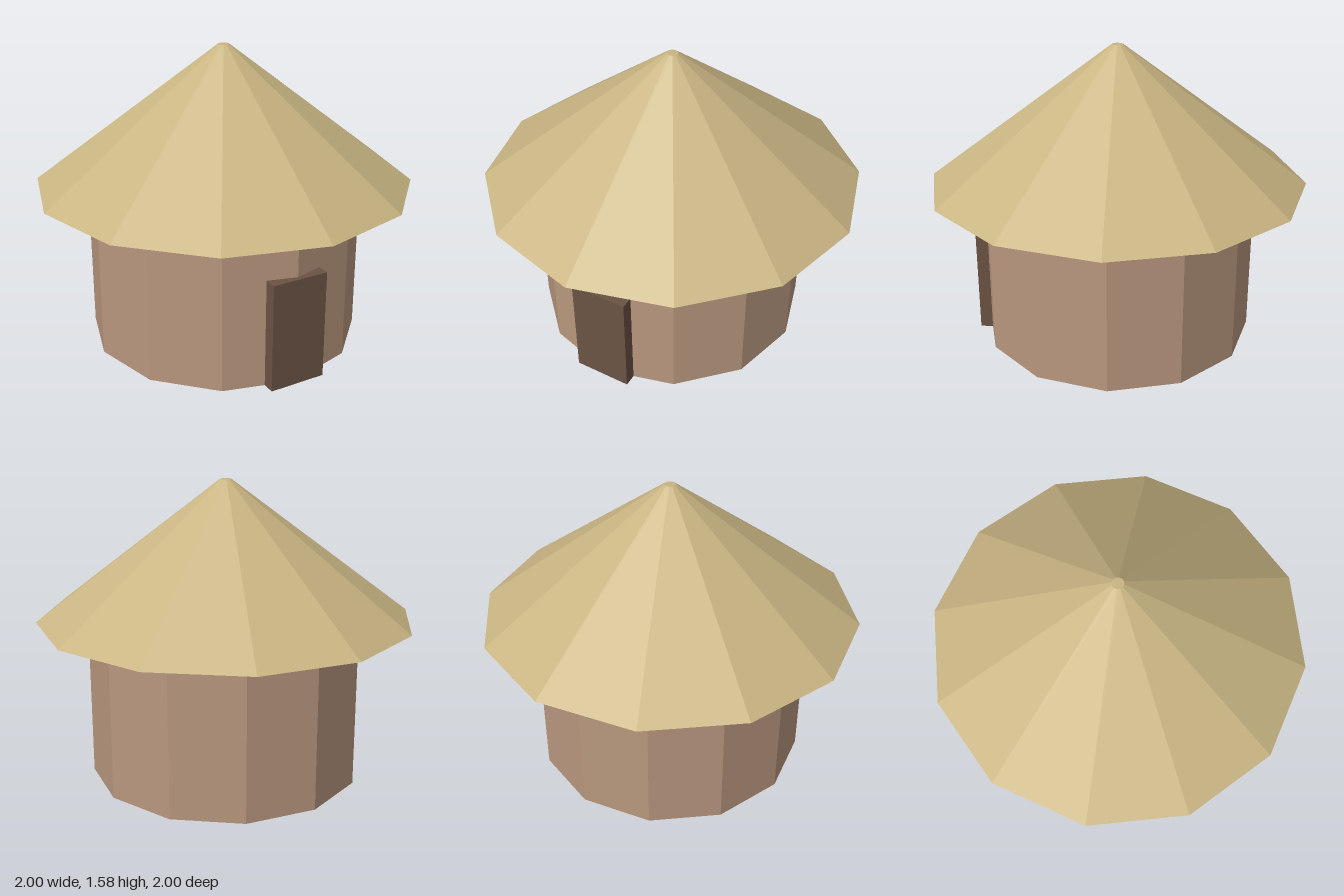
import * as THREE from 'three';

const SIDES = 12;

function addPart(group, name, geometry, color, y, z = 0) {
  const material = new THREE.MeshStandardMaterial({ color, flatShading: true });
  const mesh = new THREE.Mesh(geometry, material);
  mesh.name = name;
  mesh.position.set(0, y, z);
  group.add(mesh);
}

export function createModel() {
  const hut = new THREE.Group();
  hut.name = 'roundHut';

  const wallHeight = 0.85, roofHeight = 0.73, doorHeight = 0.58;

  // Twelve-sided clay wall
  addPart(hut, 'wall', new THREE.CylinderGeometry(0.73, 0.73, wallHeight, SIDES), 0xb8977e, wallHeight / 2);

  // Thatched cone with a tiny flat tip and a closed underside
  addPart(hut, 'roof', new THREE.CylinderGeometry(0.03, 1, roofHeight, SIDES), 0xc9b583, wallHeight + roofHeight / 2);

  // Door slab, set into the front corner of the wall
  addPart(hut, 'door', new THREE.BoxGeometry(0.305, doorHeight, 0.08), 0x6b5344, doorHeight / 2, 0.715);

  return hut;
}
